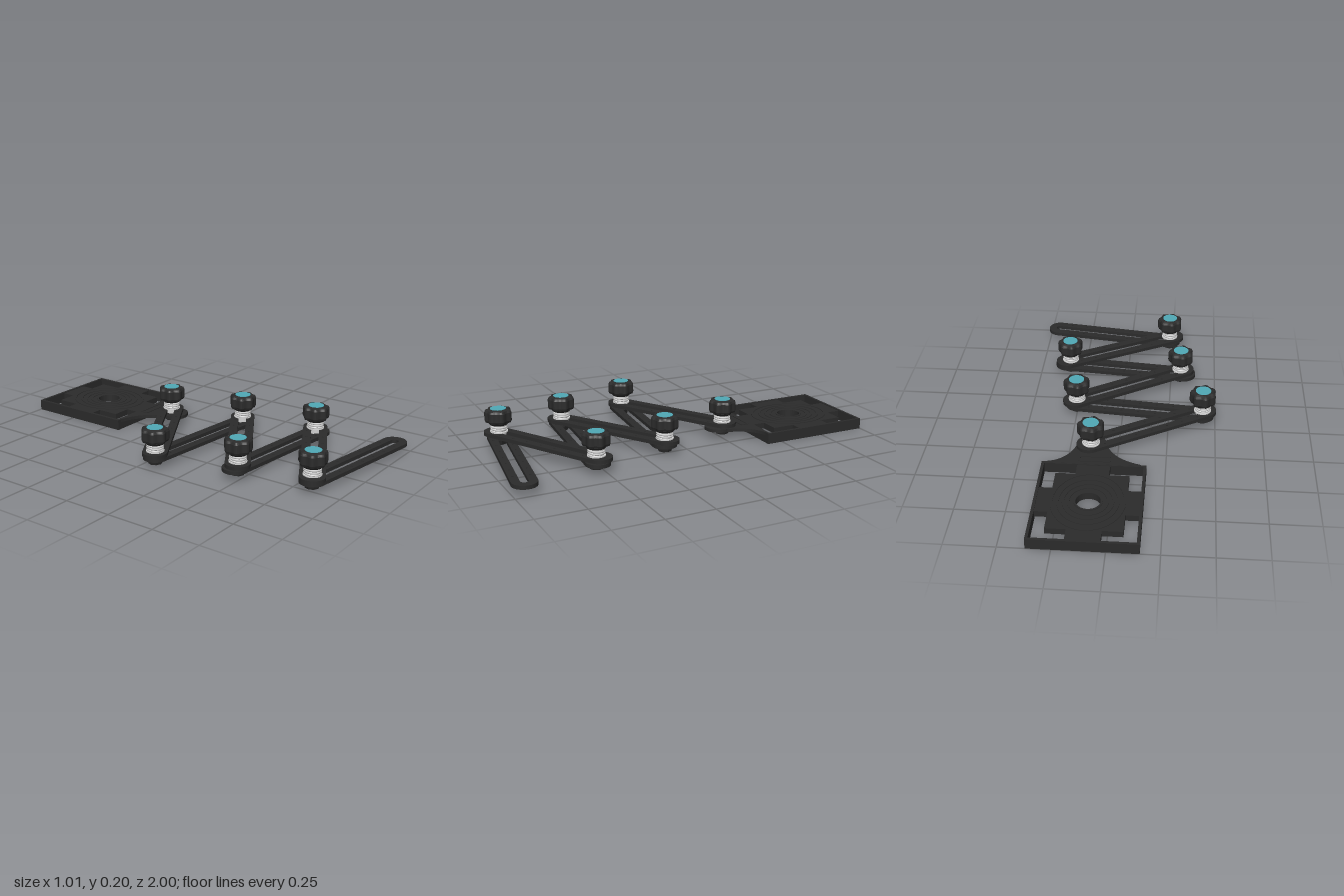
import * as THREE from 'three';

const black = new THREE.MeshStandardMaterial({ color: 0x2b2b2b });
black.name = 'black plastic';
const steel = new THREE.MeshStandardMaterial({ color: 0xd2d2d2 });
steel.name = 'bright steel';
const teal = new THREE.MeshStandardMaterial({ color: 0x50a8b6 });
teal.name = 'teal cap';

function add(parent, name, geometry, material = black) {
  const mesh = new THREE.Mesh(geometry, material);
  mesh.name = name;
  parent.add(mesh);
  return mesh;
}

// Horizontal slab: shape x, y become world x, z; top face at the given height
function slab(shape, top, depth, bevel = 0) {
  const g = new THREE.ExtrudeGeometry(shape, {
    depth: depth - 2 * bevel, curveSegments: 20,
    bevelEnabled: bevel > 0, bevelThickness: bevel, bevelSize: bevel, bevelOffset: -bevel, bevelSegments: 2,
  });
  return g.rotateX(Math.PI / 2).translate(0, top - bevel, 0);
}

const poly = (pts) => new THREE.Shape(pts.map(([x, y]) => new THREE.Vector2(x, y)));
const rect = (w, h) => poly([[-w, -h], [w, -h], [w, h], [-w, h]]);

function capsule(half, r) {
  const s = new THREE.Shape();
  s.moveTo(-half, -r);
  s.lineTo(half, -r);
  s.absarc(half, 0, r, -Math.PI / 2, Math.PI / 2, false);
  s.lineTo(-half, r);
  s.absarc(-half, 0, r, Math.PI / 2, Math.PI * 1.5, false);
  return s;
}

function ellipse(rx, ry) {
  const s = new THREE.Shape();
  s.absellipse(0, 0, rx, ry, 0, Math.PI * 2, false, 0);
  return s;
}

// Slotted link with a row of pin holes in each rail
function linkGeometry() {
  const s = capsule(0.34, 0.063);
  s.holes.push(capsule(0.34, 0.02));
  for (const side of [-1, 1]) {
    for (let i = -3; i <= 3; i++) {
      const hole = new THREE.Path();
      hole.absarc(i * 0.09, side * 0.041, 0.005, 0, Math.PI * 2, false);
      s.holes.push(hole);
    }
  }
  return slab(s, 0, 0.019);
}

// Lobed hand knob on a threaded bolt
function makeBolt() {
  const bolt = new THREE.Group();
  const lobes = [];
  for (let i = 0; i < 70; i++) {
    const a = (i / 70) * Math.PI * 2;
    const r = 0.066 + 0.005 * Math.cos(7 * a);
    lobes.push([r * Math.cos(a), r * Math.sin(a)]);
  }
  add(bolt, 'knob', slab(poly(lobes), 0.202, 0.074, 0.016));
  add(bolt, 'knobCollar', new THREE.CylinderGeometry(0.055, 0.045, 0.012, 28).translate(0, 0.125, 0));
  add(bolt, 'knobCap', new THREE.CylinderGeometry(0.041, 0.041, 0.006, 32).translate(0, 0.201, 0), teal);
  add(bolt, 'boltShaft', new THREE.CylinderGeometry(0.037, 0.037, 0.07, 24).translate(0, 0.09, 0), steel);
  add(bolt, 'washer', new THREE.CylinderGeometry(0.046, 0.046, 0.006, 28).translate(0, 0.081, 0), steel);

  const turns = 3;
  const coil = [];
  for (let i = 0; i <= turns * 16; i++) {
    const a = (i / 16) * Math.PI * 2;
    coil.push(new THREE.Vector3(0.038 * Math.cos(a), 0.084 + 0.034 * i / (turns * 16), 0.038 * Math.sin(a)));
  }
  add(bolt, 'thread', new THREE.TubeGeometry(new THREE.CatmullRomCurve3(coil), 96, 0.006, 6), steel);
  add(bolt, 'nut', new THREE.CylinderGeometry(0.043, 0.035, 0.027, 8).toNonIndexed().translate(0, 0.0285, 0))
    .geometry.computeVertexNormals();
  return bolt;
}

function makeBase() {
  const base = new THREE.Group();
  base.name = 'basePlate';
  base.position.set(0.107, 0, -0.707);

  // Outer rim
  const rim = rect(0.2625, 0.293);
  rim.holes.push(rect(0.248, 0.279));
  add(base, 'rim', slab(rim, 0.056, 0.056));

  // Cross-shaped deck with four corner windows and a central hole
  const deck = rect(0.255, 0.286);
  const corner = [[0.083, 0.279], [0.248, 0.279], [0.248, 0.09], [0.183, 0.09], [0.183, 0.207], [0.083, 0.207]];
  for (const sx of [-1, 1]) {
    for (const sy of [-1, 1]) deck.holes.push(poly(corner.map(([x, y]) => [x * sx, y * sy])));
  }
  deck.holes.push(ellipse(0.06, 0.06));
  add(base, 'deck', slab(deck, 0.052, 0.032));

  // Concentric ridges on both faces
  for (const [rx, rz] of [[0.181, 0.212], [0.15, 0.17], [0.125, 0.135], [0.1, 0.105], [0.07, 0.07]]) {
    const ring = ellipse(rx, rz);
    ring.holes.push(ellipse(rx - 0.01, rz - 0.01));
    add(base, 'ridge', slab(ring, 0.055, 0.004));
    add(base, 'lowerRidge', slab(ring, 0.021, 0.004));
  }

  // Neck tapering to the first pivot
  const neck = new THREE.Shape();
  neck.moveTo(-0.235, 0.285);
  neck.lineTo(0.235, 0.285);
  neck.lineTo(0.235, 0.295);
  neck.quadraticCurveTo(0.135, 0.315, 0.1, 0.445);
  neck.absarc(0.025, 0.455, 0.076, 0, Math.PI, false);
  neck.quadraticCurveTo(-0.09, 0.33, -0.235, 0.295);
  add(base, 'neck', slab(neck, 0.057, 0.017));
  const label = rect(0.08, 0.022);
  label.holes.push(rect(0.073, 0.015));
  add(base, 'neckFrame', slab(label, 0.06, 0.004)).position.z = 0.325;
  return base;
}

export function createModel() {
  const model = new THREE.Group();
  model.name = 'foldingArm';
  model.add(makeBase());

  // Pivot positions (x, z) from the base to the free end
  const pivots = [[0.135, -0.27], [-0.43, 0.063], [0.25, 0.127], [-0.303, 0.47],
    [0.33, 0.533], [-0.23, 0.84], [0.445, 0.935]];
  const link = linkGeometry();
  for (let i = 0; i < 6; i++) {
    const [ax, az] = pivots[i];
    const [bx, bz] = pivots[i + 1];

    // Links alternate between an upper and a lower layer
    const arm = add(model, 'link' + (i + 1), link);
    arm.position.set((ax + bx) / 2, i % 2 ? 0.058 : 0.079, (az + bz) / 2);
    arm.rotation.y = -Math.atan2(bz - az, bx - ax);

    const bolt = makeBolt();
    bolt.name = 'pivotBolt' + (i + 1);
    bolt.position.set(ax, 0, az);
    model.add(bolt);
  }
  return model;
}
